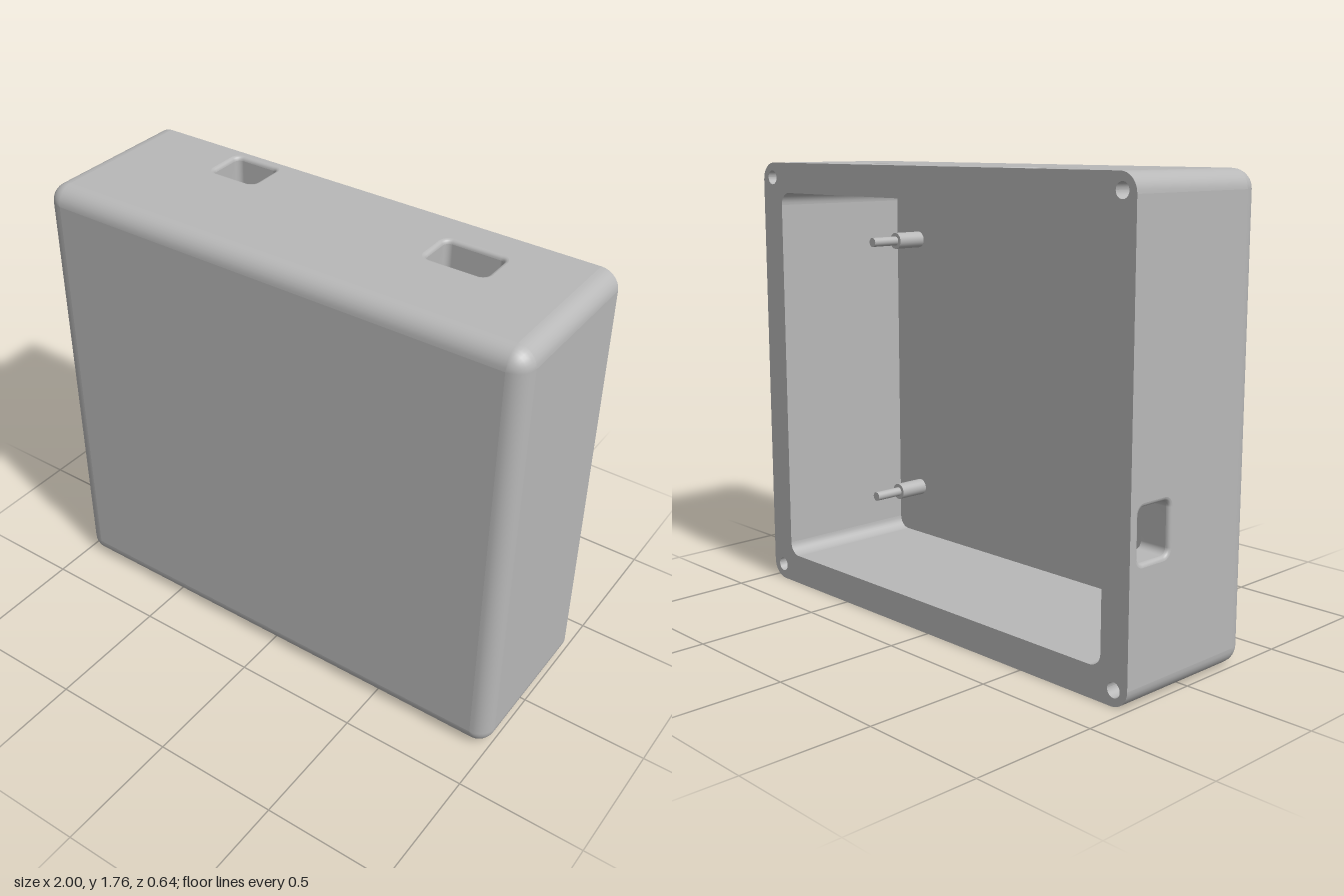
import * as THREE from 'three';

// overall half sizes, corner radius, wall, pocket radius and floor level
const W = 1, H = 0.8825, BACK = -0.32, FRONT = 0.32, R = 0.07;
const WALL = 0.12, IR = 0.05, FLOOR = 0.29, SEG = 8;

// counter-clockwise rounded rectangle, SEG + 1 points per corner
function roundRect(hw, hh, r, cx = 0, cy = 0) {
  const pts = [];
  [[1, 1], [-1, 1], [-1, -1], [1, -1]].forEach(([sx, sy], k) => {
    for (let i = 0; i <= SEG; i++) {
      const a = (k + i / SEG) * Math.PI / 2;
      pts.push(new THREE.Vector2(cx + sx * (hw - r) + r * Math.cos(a), cy + sy * (hh - r) + r * Math.sin(a)));
    }
  });
  return pts;
}

// skin between rings [points, z]; cornersOnly leaves the flat spans open
function loft(rings, cornersOnly = false) {
  const n = rings[0][0].length, pos = [], idx = [];
  for (const [pts, z] of rings) for (const p of pts) pos.push(p.x, p.y, z);
  for (let i = 0; i < rings.length - 1; i++) {
    for (let j = 0; j < n; j++) {
      if (cornersOnly && j % (SEG + 1) === SEG) continue;
      const a = i * n + j, b = i * n + (j + 1) % n;
      idx.push(a, b, b + n, a, b + n, a + n);
    }
  }
  const g = new THREE.BufferGeometry();
  g.setAttribute('position', new THREE.Float32BufferAttribute(pos, 3));
  g.setIndex(idx);
  g.computeVertexNormals();
  return g;
}

function face(outline, holes = []) {
  const s = new THREE.Shape(outline);
  holes.forEach(h => s.holes.push(new THREE.Path(h)));
  return new THREE.ShapeGeometry(s);
}

export function createModel() {
  const model = new THREE.Group();
  const grey = new THREE.MeshStandardMaterial({ color: 0xb8b8b8, side: THREE.DoubleSide });
  grey.name = 'greyPlastic';
  const body = new THREE.Group();
  body.position.y = H;
  model.add(body);
  const add = (name, geo) => {
    const m = new THREE.Mesh(geo, grey);
    m.name = name;
    body.add(m);
    return m;
  };

  // rounded outer corners and front edge
  const outer = roundRect(W, H, R);
  add('outerCorners', loft([[outer, BACK], [outer, FRONT - R]], true));
  const rings = [];
  for (let i = 0; i <= SEG; i++) {
    const t = i / SEG * Math.PI / 2, c = R * Math.cos(t);
    rings.push([roundRect(W - R + c, H - R + c, c), FRONT - R + R * Math.sin(t)]);
  }
  add('frontRoundedEdge', loft(rings));
  add('frontFace', new THREE.PlaneGeometry(2 * (W - R), 2 * (H - R)).translate(0, 0, FRONT));

  // pocket corners and floor
  const pocket = roundRect(W - WALL, H - WALL, IR);
  add('pocketCorners', loft([[pocket, FLOOR], [pocket, BACK]], true));
  add('pocketFloor', face(pocket).rotateY(Math.PI).translate(0, 0, FLOOR));

  // side walls: [name, turn, half length, distance, cutouts as u, z, half width, half depth]
  const F = 0.015;
  const sides = [
    ['top', 0, W, H, [[-0.475, -0.207, 0.095, 0.078], [0.533, -0.11, 0.118, 0.075]]],
    ['right', 1, H, W, [[-0.29, -0.2, 0.095, 0.078]]],
    ['bottom', 2, W, H, []],
    ['left', 3, H, W, []],
  ];
  for (const [name, turn, half, dist, cuts] of sides) {
    const place = (g, flip, d) => g.rotateX(flip * Math.PI / 2).translate(0, d, 0).rotateZ(turn * Math.PI / 2);
    const rect = (hw, v0, v1) => [[-hw, v0], [hw, v0], [hw, v1], [-hw, v1]].map(p => new THREE.Vector2(...p));
    add(name + 'WallOuter', place(face(rect(half - R, R - FRONT, -BACK),
      cuts.map(([u, z, a, b]) => roundRect(a + F, b + F, 0.025 + F, u, -z))), -1, dist));
    add(name + 'WallInner', place(face(rect(half - WALL - IR, BACK, FLOOR),
      cuts.map(([u, z, a, b]) => roundRect(a, b, 0.025, u, z))), 1, dist - WALL));
    // port cutouts with a softened outer lip
    for (const [u, z, a, b] of cuts) {
      const r = [];
      for (let i = 0; i <= 4; i++) {
        const t = i / 4 * Math.PI / 2, e = F * (1 - Math.sin(t));
        r.push([roundRect(a + e, b + e, 0.025 + e, u, -z), -F * (1 - Math.cos(t))]);
      }
      const end = roundRect(a, b, 0.025, u, -z);
      add(name + 'PortLip', place(loft(r), -1, dist));
      add(name + 'PortTunnel', place(loft([[end, -F], [end, -WALL]]), -1, dist));
    }
  }

  // back rim with four blind screw holes
  const SR = 0.028, DEPTH = 0.2, screws = [];
  for (const sx of [-1, 1]) for (const sy of [-1, 1]) {
    const hole = roundRect(SR, SR, SR, sx * (W - 0.06), sy * (H - 0.06));
    screws.push(hole);
    add('screwHole', loft([[hole, BACK + DEPTH], [hole, BACK]]));
    add('screwHoleEnd', face(hole).rotateY(Math.PI).translate(0, 0, BACK + DEPTH));
  }
  add('backRim', face(outer, [pocket, ...screws]).rotateY(Math.PI).translate(0, 0, BACK));

  // stepped mounting posts on the pocket floor
  for (const sx of [-1, 1]) for (const sy of [-1, 1]) {
    for (const [name, r, z0, z1] of [['postBase', 0.034, 0.16, 0.3], ['postPin', 0.019, 0.035, 0.17]]) {
      add(name, new THREE.CylinderGeometry(r, r, z1 - z0, 24).rotateX(Math.PI / 2))
        .position.set(sx * 0.74, sy * 0.55, (z0 + z1) / 2);
    }
  }
  return model;
}
